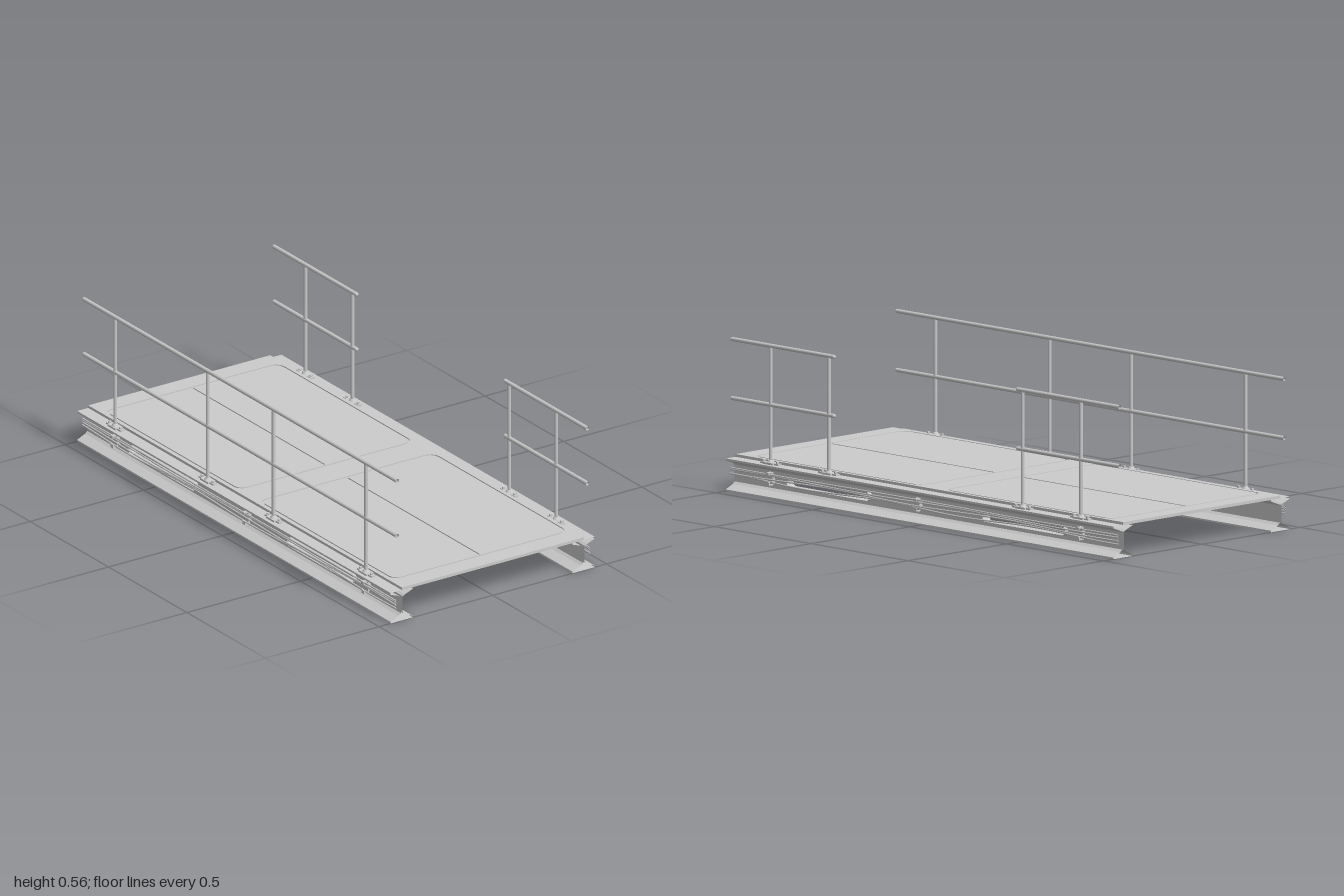
import * as THREE from 'three';

const grey = new THREE.MeshStandardMaterial({ color: 0xcccccc, side: THREE.DoubleSide });
const facet = new THREE.MeshStandardMaterial({ color: 0xcccccc, side: THREE.DoubleSide, flatShading: true });

function add(parent, name, geometry, x = 0, y = 0, z = 0, material = grey) {
  const mesh = new THREE.Mesh(geometry, material);
  mesh.name = name;
  mesh.position.set(x, y, z);
  parent.add(mesh);
  return mesh;
}

// Rounded rectangle outline, used for slots and deck panels
function rounded(target, x0, x1, y0, y1, r) {
  target.moveTo(x0 + r, y0);
  target.lineTo(x1 - r, y0);
  target.absarc(x1 - r, y0 + r, r, -Math.PI / 2, 0);
  target.lineTo(x1, y1 - r);
  target.absarc(x1 - r, y1 - r, r, 0, Math.PI / 2);
  target.lineTo(x0 + r, y1);
  target.absarc(x0 + r, y1 - r, r, Math.PI / 2, Math.PI);
  target.lineTo(x0, y0 + r);
  target.absarc(x0 + r, y0 + r, r, Math.PI, Math.PI * 1.5);
  return target;
}

const extrude = (shape, depth) =>
  new THREE.ExtrudeGeometry(shape, { depth, bevelEnabled: false, curveSegments: 8 });

// Open-ended sheet: an x,y profile swept along the full length
function sweptSheet(points) {
  const pos = [], index = [];
  points.forEach(([x, y]) => pos.push(x, y, 1, x, y, -1));
  for (let i = 0; i < points.length - 1; i++) {
    const a = i * 2;
    index.push(a, a + 1, a + 2, a + 1, a + 3, a + 2);
  }
  const g = new THREE.BufferGeometry();
  g.setAttribute('position', new THREE.Float32BufferAttribute(pos, 3));
  g.setIndex(index);
  const flat = g.toNonIndexed();
  flat.computeVertexNormals();
  return flat;
}

const SLOTS = [[-0.72, -0.29], [0.29, 0.72]];
const SLOT_Y = [0.044, 0.08];

// I-beam with tapered flanges, slotted web and slot collars
function beam(side) {
  const group = new THREE.Group();
  group.name = 'sideBeam';
  const c = 0.40;
  const flange = (edge, lip, root) => [
    [c + 0.004, root], [c + 0.014, root - (root - lip) * 0.35], [0.449, lip], [0.449, edge],
    [0.351, edge], [0.351, lip], [c - 0.014, root - (root - lip) * 0.35], [c - 0.004, root],
  ].map(([x, y]) => [x * side, y]);
  add(group, 'bottomFlange', sweptSheet(flange(0, 0.006, 0.03)));
  add(group, 'topFlange', sweptSheet(flange(0.12, 0.113, 0.093)));

  const web = new THREE.Shape([[-1, 0.028], [1, 0.028], [1, 0.095], [-1, 0.095]].map(p => new THREE.Vector2(...p)));
  for (const [a, b] of SLOTS) {
    web.holes.push(rounded(new THREE.Path(), a, b, ...SLOT_Y, 0.0175));
    const ring = rounded(new THREE.Shape(), a, b, ...SLOT_Y, 0.0175);
    ring.holes.push(rounded(new THREE.Path(), a + 0.003, b - 0.003, SLOT_Y[0] + 0.003, SLOT_Y[1] - 0.003, 0.0145));
    add(group, 'slotCollar', extrude(ring, 0.035).rotateY(Math.PI / 2), side > 0 ? 0.383 : -0.418);
  }
  for (const d of [-0.004, 0.004])
    add(group, 'web', new THREE.ShapeGeometry(web, 8).rotateY(Math.PI / 2), side * c + d);
  return group;
}

// Sagging hoses held by C-shaped clips on the outer side of the beam
function hoses(side) {
  const group = new THREE.Group();
  group.name = 'hoseRun';
  [0.084, 0.076, 0.066, 0.056].forEach((y, i) => {
    const pts = [];
    for (let k = 0; k <= 20; k++) {
      const z = -1 + k * 0.1;
      const sag = 0.004 * Math.sin(z * (5 + i) + i * 1.7 + side) * (i + 1) / 3;
      pts.push(new THREE.Vector3(side * 0.425, y + sag, z));
    }
    add(group, 'hose', new THREE.TubeGeometry(new THREE.CatmullRomCurve3(pts), 80, 0.0032, 6, false));
  });
  const clip = new THREE.Shape([
    [0.412, 0.043], [0.434, 0.043], [0.434, 0.056], [0.430, 0.056], [0.430, 0.047], [0.417, 0.047],
    [0.417, 0.087], [0.432, 0.087], [0.432, 0.081], [0.436, 0.081], [0.436, 0.091], [0.412, 0.091],
  ].map(([x, y]) => new THREE.Vector2(x * side, y)));
  for (const z of [-0.8, 0.04, 0.8]) {
    add(group, 'hoseClip', extrude(clip, 0.016), 0, 0, z - 0.008, facet);
    add(group, 'clipFoot', new THREE.BoxGeometry(0.012, 0.03, 0.016), side * 0.409, 0.065, z);
  }
  return group;
}

// Deck slab with panels separated by narrow grooves
function deck() {
  const group = new THREE.Group();
  group.name = 'deck';
  add(group, 'deckSlab', new THREE.BoxGeometry(0.8, 0.007, 2), 0, 0.1225, 0);
  const flat = (name, shape) =>
    add(group, name, extrude(shape, 0.004).rotateX(-Math.PI / 2), 0, 0.126, 0);
  const frame = new THREE.Shape([[-0.4, -1], [0.4, -1], [0.4, 1], [-0.4, 1]].map(p => new THREE.Vector2(...p)));
  for (const [a, b] of [[-0.925, -0.06], [0.06, 0.925]]) {
    frame.holes.push(rounded(new THREE.Path(), -0.385, 0.385, a, b, 0.04));
    const panel = rounded(new THREE.Shape(), -0.378, 0.378, a + 0.007, b - 0.007, 0.035);
    panel.holes.push(rounded(new THREE.Path(), -0.004, 0.004, a + 0.012, b - 0.012, 0.003));
    flat('deckPanel', panel);
  }
  flat('deckFrame', frame);
  // Rivets on the underside
  for (const z of [-0.95, 0, 0.95])
    for (let i = 0; i < 9; i++)
      add(group, 'rivet', new THREE.CylinderGeometry(0.003, 0.003, 0.002, 8), -0.32 + i * 0.08, 0.1185, z);
  return group;
}

// Railing post with bolted foot
function post(x, z) {
  const group = new THREE.Group();
  group.name = 'railPost';
  group.position.set(x, 0.12, z);
  add(group, 'post', new THREE.CylinderGeometry(0.0068, 0.0068, 0.43, 12), 0, 0.217, 0);
  add(group, 'footPlate', new THREE.BoxGeometry(0.032, 0.007, 0.05), 0, 0.0035, 0);
  add(group, 'footCollar', new THREE.CylinderGeometry(0.009, 0.014, 0.009, 12), 0, 0.011, 0);
  for (const s of [-1, 1]) {
    add(group, 'footTab', new THREE.BoxGeometry(0.018, 0.006, 0.025), 0, 0.003, s * 0.034);
    add(group, 'bolt', new THREE.CylinderGeometry(0.006, 0.006, 0.007, 6), 0, 0.0095, s * 0.035, facet);
  }
  return group;
}

// Two horizontal rails between z0 and z1; ends short of the deck edge get domed caps
function rails(x, z0, z1) {
  const group = new THREE.Group();
  group.name = 'rails';
  for (const [y, r] of [[0.555, 0.0078], [0.338, 0.0078]]) {
    const tube = new THREE.CylinderGeometry(r, r, z1 - z0, 12, 1, true).rotateX(Math.PI / 2);
    add(group, 'rail', tube, x, y, (z0 + z1) / 2);
    for (const [z, dir] of [[z0, -1], [z1, 1]]) {
      if (Math.abs(z) > 0.99) continue;
      const dome = new THREE.SphereGeometry(r, 12, 4, 0, Math.PI * 2, 0, Math.PI / 2);
      add(group, 'railCap', dome.rotateX(dir * Math.PI / 2), x, y, z);
    }
  }
  return group;
}

export function createModel() {
  const model = new THREE.Group();
  model.name = 'walkwayBridge';
  model.add(deck());
  for (const side of [-1, 1]) model.add(beam(side), hoses(side));

  // Continuous railing on one side, two short railings on the other
  for (const z of [-0.8, -0.21, 0.21, 0.8]) model.add(post(-0.419, z));
  for (const z of [-0.8, -0.5, 0.5, 0.8]) model.add(post(0.417, z));
  model.add(rails(-0.419, -1, 1), rails(0.417, -1, -0.475), rails(0.417, 0.475, 1));
  return model;
}
